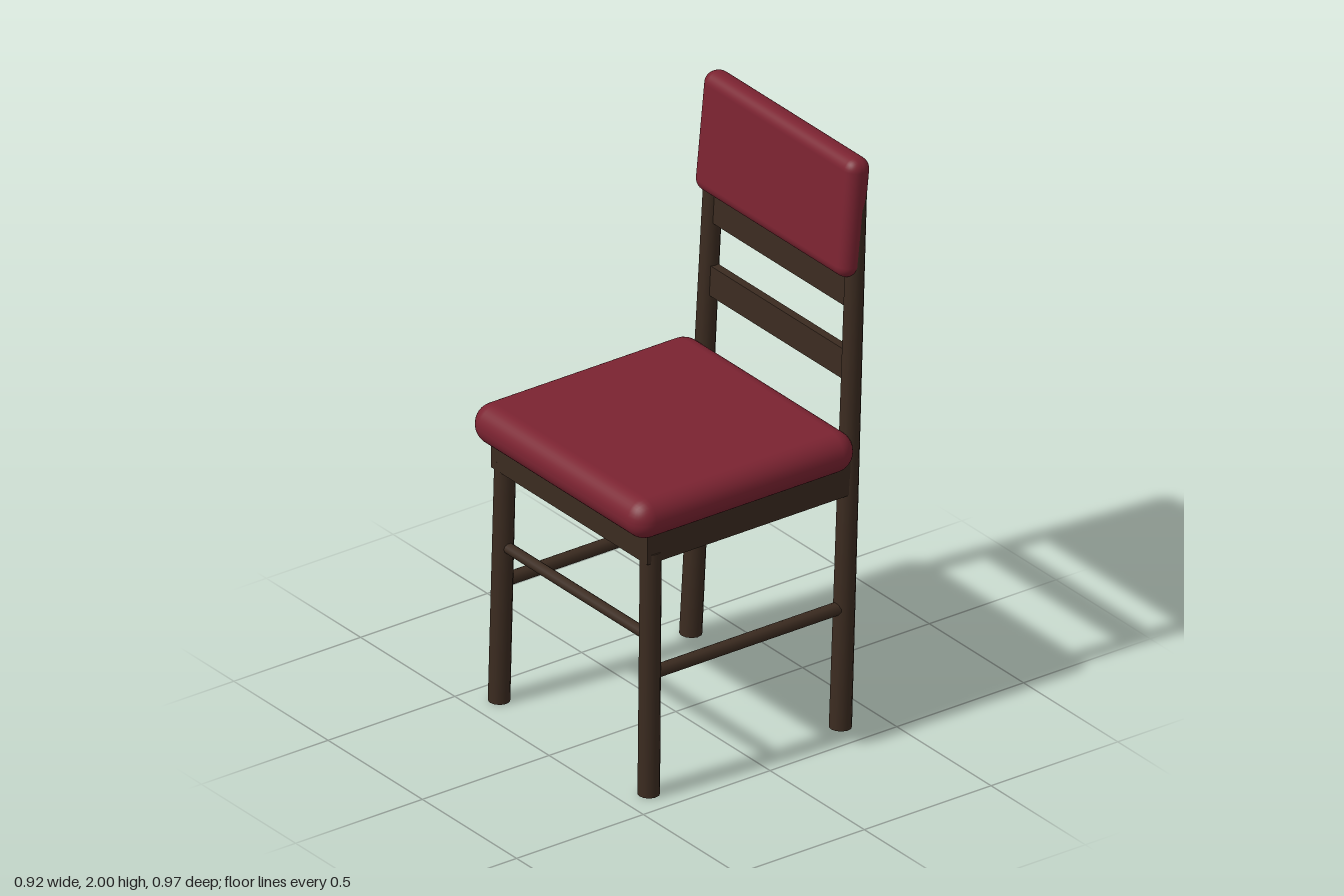
import * as THREE from 'three';
import { RoundedBoxGeometry } from 'three/addons/geometries/RoundedBoxGeometry.js';

export function createModel() {
  const chair = new THREE.Group();
  chair.name = 'chair';
  const wood = new THREE.MeshStandardMaterial({ color: 0x3b2b20 });
  wood.name = 'dark wood';
  const fabric = new THREE.MeshStandardMaterial({ color: 0x7b2331 });
  fabric.name = 'red upholstery';

  const add = (name, geometry, material, x = 0, y = 0, z = 0, tilt = 0) => {
    const mesh = new THREE.Mesh(geometry, material);
    mesh.name = name;
    mesh.position.set(x, y, z);
    mesh.rotation.x = tilt;
    chair.add(mesh);
    return mesh;
  };

  // Round bar between two points, with flat horizontal ends when upright
  const bar = (name, from, to, r0, r1, sides = 12) => {
    const a = new THREE.Vector3(...from), b = new THREE.Vector3(...to);
    const dir = b.clone().sub(a);
    const geometry = new THREE.CylinderGeometry(r1, r0, dir.length(), sides);
    const mesh = add(name, geometry, wood);
    mesh.position.copy(a).add(b).multiplyScalar(0.5);
    mesh.quaternion.setFromUnitVectors(new THREE.Vector3(0, 1, 0), dir.normalize());
  };

  // Upholstered seat on its solid wooden frame
  add('seatCushion', new RoundedBoxGeometry(0.92, 0.14, 0.875, 4, 0.068), fabric, 0, 0.995, 0.047);
  add('seatFrame', new THREE.BoxGeometry(0.83, 0.12, 0.8), wood, 0, 0.89, 0.02);

  // Legs, back posts and side stretchers, mirrored
  for (const [side, s] of [['left', 1], ['right', -1]]) {
    bar(side + 'FrontLeg', [s * 0.397, 0, 0.402], [s * 0.386, 0.86, 0.386], 0.036, 0.035);
    bar(side + 'BackPost', [s * 0.397, 0.002, -0.354], [s * 0.371, 1.945, -0.442], 0.037, 0.031);
    bar(side + 'Stretcher', [s * 0.392, 0.425, 0.394], [s * 0.392, 0.425, -0.373], 0.022, 0.022, 10);
  }
  bar('frontStretcher', [-0.39, 0.555, 0.392], [0.39, 0.555, 0.392], 0.019, 0.019, 10);

  // Back slats follow the lean of the posts
  for (const [y, z] of [[1.267, -0.411], [1.522, -0.423]]) {
    add('backSlat', new THREE.BoxGeometry(0.74, 0.104, 0.03), wood, 0, y, z, -0.046);
  }

  // Padded backrest
  add('backCushion', new RoundedBoxGeometry(0.81, 0.415, 0.09, 4, 0.042), fabric, 0, 1.793, -0.421, -0.1);

  return chair;
}
